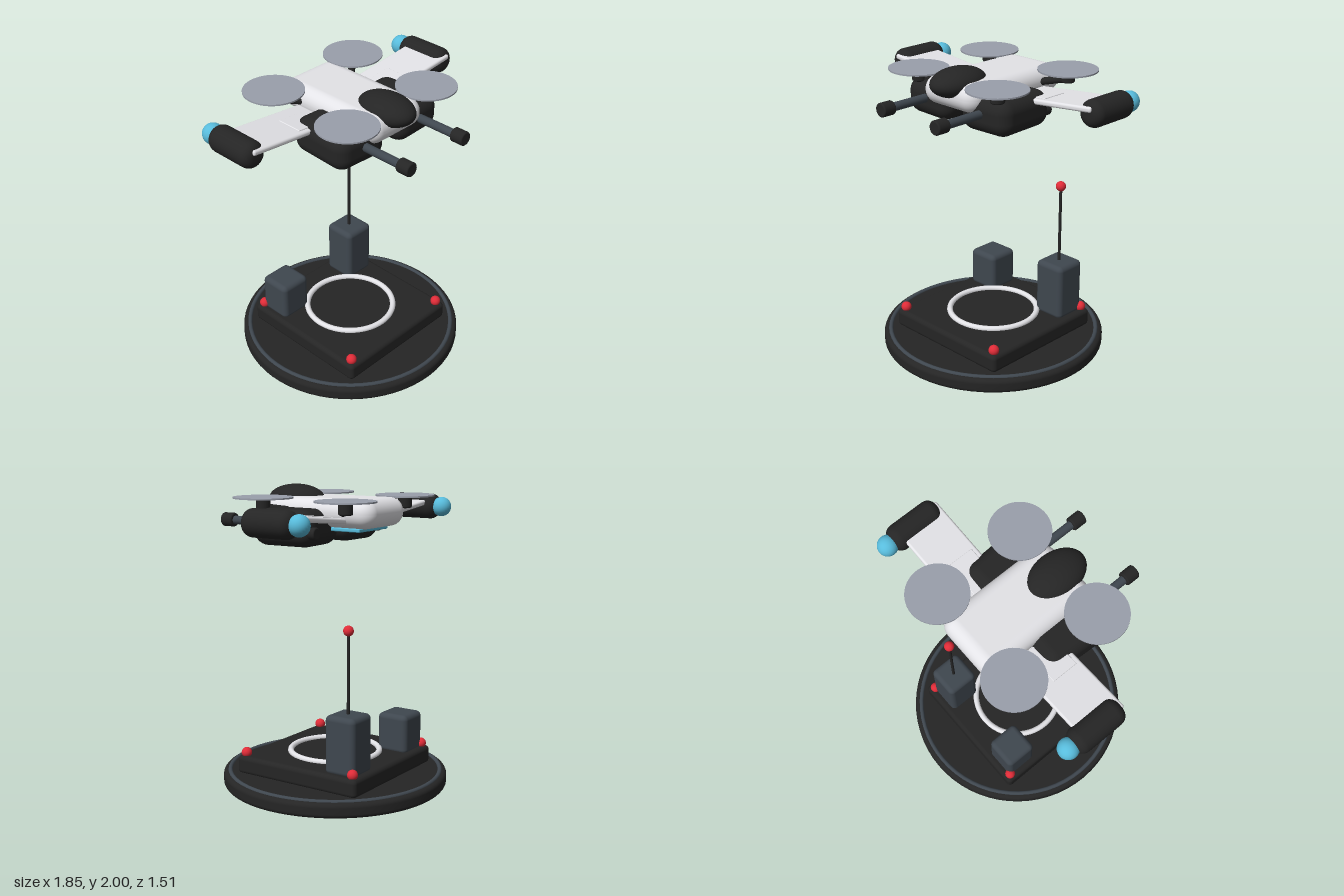
import * as THREE from 'three';
import { RoundedBoxGeometry } from 'three/addons/geometries/RoundedBoxGeometry.js';

const mat = (name, color) => {
  const m = new THREE.MeshStandardMaterial({ color });
  m.name = name;
  return m;
};

export function createModel() {
  const black = mat('matte black', 0x252525);
  const slate = mat('slate grey', 0x3f474f);
  const white = mat('off white', 0xe4e4e8);
  const grey = mat('rotor grey', 0x9a9fab);
  const red = mat('signal red', 0xe02c38);
  const blue = mat('glow blue', 0x58bcdc);

  const model = new THREE.Group();
  const station = new THREE.Group();
  station.name = 'landingStation';
  const drone = new THREE.Group();
  drone.name = 'drone';
  model.add(station, drone);

  const add = (parent, name, geometry, material, x = 0, y = 0, z = 0) => {
    const mesh = new THREE.Mesh(geometry, material);
    mesh.name = name;
    mesh.position.set(x, y, z);
    parent.add(mesh);
    return mesh;
  };
  const box = (w, h, d, r) => new RoundedBoxGeometry(w, h, d, 5, r);
  const ball = (r) => new THREE.SphereGeometry(r, 24, 16);

  // Cylinder with filleted rims, centred on the origin, axis along y
  const roundedCylinder = (r, h, f, sides = 32) => {
    const points = [new THREE.Vector2(0, -h / 2)];
    for (let i = 0; i <= 6; i++) {
      const a = -Math.PI / 2 + (i / 6) * (Math.PI / 2);
      points.push(new THREE.Vector2(r - f + f * Math.cos(a), -h / 2 + f + f * Math.sin(a)));
    }
    for (let i = 0; i <= 6; i++) {
      const a = (i / 6) * (Math.PI / 2);
      points.push(new THREE.Vector2(r - f + f * Math.cos(a), h / 2 - f + f * Math.sin(a)));
    }
    points.push(new THREE.Vector2(0, h / 2));
    return new THREE.LatheGeometry(points, sides);
  };
  const alongZ = (geometry) => geometry.rotateX(Math.PI / 2);
  const flatRing = (r, t) => new THREE.TorusGeometry(r, t, 12, 64).rotateX(Math.PI / 2);

  // Round base and raised square pad
  add(station, 'baseDisc', roundedCylinder(0.755, 0.1, 0.03, 64), black, 0, 0.05, 0);
  add(station, 'baseTrimRing', flatRing(0.71, 0.015), slate, 0, 0.098, 0);
  add(station, 'landingPad', box(0.945, 0.125, 0.945, 0.03), black, 0, 0.1525, 0);
  add(station, 'landingRing', flatRing(0.3, 0.02), white, 0, 0.22, 0);

  // Equipment towers and antenna
  add(station, 'tallTower', box(0.225, 0.39, 0.225, 0.035), slate, 0.315, 0.393, -0.318);
  add(station, 'shortTower', box(0.225, 0.27, 0.225, 0.035), slate, -0.318, 0.33, -0.318);
  add(station, 'antennaMast', new THREE.CylinderGeometry(0.01, 0.01, 0.54, 16), black, 0.315, 0.85, -0.318);
  add(station, 'antennaTip', ball(0.034), red, 0.315, 1.125, -0.318);

  // Corner lights
  for (const x of [-1, 1]) {
    for (const z of [-1, 1]) add(station, 'cornerLight', ball(0.035), red, x * 0.425, 0.233, z * 0.425);
  }

  // Drone body with canopy
  add(drone, 'fuselage', box(0.465, 0.185, 0.835, 0.09), white, 0, 1.838, 0.002);
  add(drone, 'canopy', new THREE.SphereGeometry(1, 40, 24), black, 0, 1.907, 0.307).scale.set(0.141, 0.094, 0.205);

  // Belly panel with its marker ring
  add(drone, 'bellyPanel', box(0.34, 0.025, 0.6, 0.008), blue, 0, 1.735, 0);
  add(drone, 'bellyRing', flatRing(0.13, 0.008), red, 0, 1.721, 0);

  for (const s of [-1, 1]) {
    // Side hull pod with rear nozzle
    add(drone, 'hullPod', box(0.39, 0.237, 0.455, 0.09), black, s * 0.24, 1.748, 0.14).rotation.y = s * 0.05;
    add(drone, 'rearNozzle', alongZ(roundedCylinder(0.04, 0.12, 0.01, 24)), black, s * 0.365, 1.722, -0.055);

    // Forward barrel
    add(drone, 'barrel', alongZ(new THREE.CylinderGeometry(0.028, 0.028, 0.4, 24)), slate, s * 0.243, 1.762, 0.46);
    add(drone, 'muzzle', alongZ(roundedCylinder(0.046, 0.093, 0.01, 24)), black, s * 0.243, 1.763, 0.687);

    // Upswept wing with a raised panel
    const wing = new THREE.Group();
    wing.name = 'wing';
    wing.position.set(s * 0.5, 1.824, 0);
    wing.rotation.z = s * 0.1;
    drone.add(wing);
    add(wing, 'wingPlate', box(0.73, 0.036, 0.312, 0.015), white, 0, 0, -0.08);
    add(wing, 'wingPanel', box(0.25, 0.012, 0.177, 0.005), white, s * -0.14, 0.018, -0.043);

    // Wing tip thruster
    add(drone, 'tipThruster', alongZ(roundedCylinder(0.087, 0.365, 0.06)), black, s * 0.837, 1.823, -0.117);
    add(drone, 'thrusterGlow', ball(0.067), blue, s * 0.835, 1.823, -0.325);

    // Rotors on motors and support arms
    for (const f of [-1, 1]) {
      const x = s * 0.35, z = f * 0.318;
      add(drone, 'rotorDisc', new THREE.CylinderGeometry(0.195, 0.195, 0.01, 48), grey, x, 1.93, z);
      add(drone, 'motor', roundedCylinder(0.046, 0.078, 0.012, 24), black, x, 1.885, z);
      const arm = new THREE.LineCurve3(
        new THREE.Vector3(x, 1.87, z),
        new THREE.Vector3(s * 0.13, 1.83, f * 0.14)
      );
      add(drone, 'motorArm', new THREE.TubeGeometry(arm, 1, 0.024, 16), black);
    }
  }
  return model;
}
